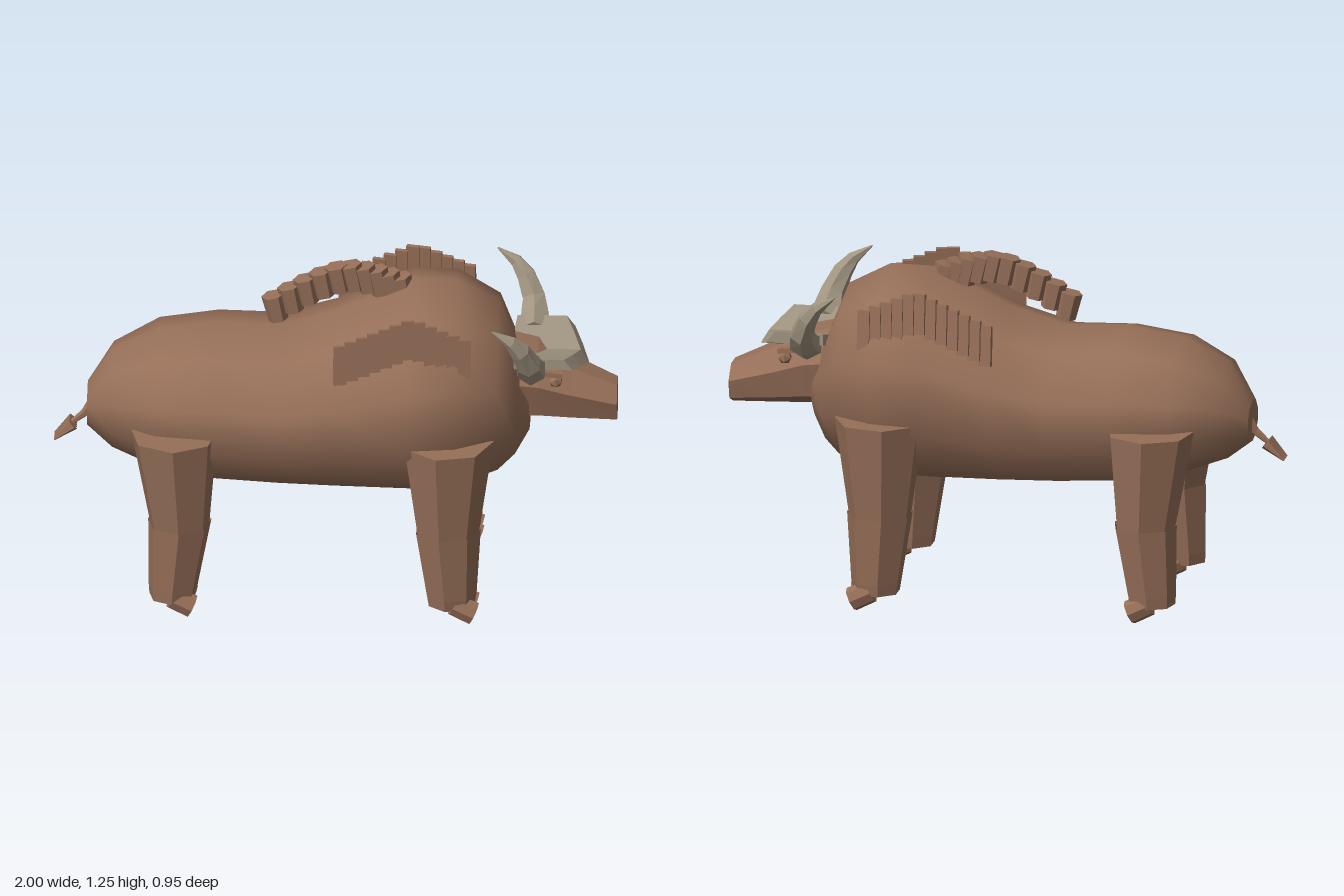
import * as THREE from 'three';

const hide = new THREE.MeshStandardMaterial({ color: 0x966f58 });
hide.name = 'brown hide';
const horn = new THREE.MeshStandardMaterial({ color: 0xa09480 });
horn.name = 'tan horn';

const V = (x, y, z) => new THREE.Vector3(x, y, z);
const X = V(1, 0, 0), Y = V(0, 1, 0), Z = V(0, 0, 1);

// n-sided ring about c, counter-clockwise around u x v
function ring(c, u, v, ru, rv, n, start = 0) {
  return Array.from({ length: n }, (_, i) => {
    const a = start + (i / n) * Math.PI * 2;
    return c.clone().addScaledVector(u, ru * Math.cos(a)).addScaledVector(v, rv * Math.sin(a));
  });
}

// Capped skin over a series of rings
function loft(rings, smooth = false) {
  const pos = [], idx = [], n = rings[0].length;
  rings.forEach(r => r.forEach(p => pos.push(p.x, p.y, p.z)));
  for (let i = 0; i < rings.length - 1; i++) {
    for (let j = 0; j < n; j++) {
      const a = i * n + j, b = i * n + (j + 1) % n;
      idx.push(a, b, b + n, a, b + n, a + n);
    }
  }
  [[rings[0], true], [rings[rings.length - 1], false]].forEach(([r, flip]) => {
    const base = pos.length / 3;
    const c = r.reduce((s, p) => s.add(p), V(0, 0, 0)).divideScalar(n);
    [...r, c].forEach(p => pos.push(p.x, p.y, p.z));
    for (let j = 0; j < n; j++) {
      const a = base + j, b = base + (j + 1) % n;
      if (flip) idx.push(base + n, b, a);
      else idx.push(base + n, a, b);
    }
  });
  let g = new THREE.BufferGeometry();
  g.setAttribute('position', new THREE.Float32BufferAttribute(pos, 3));
  g.setIndex(idx);
  if (!smooth) g = g.toNonIndexed();
  g.computeVertexNormals();
  return g;
}

// Tapered tube through [x, y, z, radius] points
function sweep(pts, n, ref) {
  const p = pts.map(q => V(q[0], q[1], q[2]));
  return loft(p.map((c, i) => {
    const d = p[Math.min(i + 1, p.length - 1)].clone().sub(p[Math.max(i - 1, 0)]).normalize();
    const u = ref.clone().cross(d).normalize();
    return ring(c, u, d.clone().cross(u), pts[i][3], pts[i][3], n);
  }));
}

export function createModel() {
  const model = new THREE.Group();
  model.name = 'hornedBeast';
  const add = (name, geo, mat = hide) => {
    const m = new THREE.Mesh(geo, mat);
    m.name = name;
    model.add(m);
    return m;
  };

  // Body: x, top, bottom, half width
  const body = [
    [-0.88, 0.76, 0.61, 0.09], [-0.79, 0.90, 0.54, 0.21], [-0.63, 0.98, 0.48, 0.31],
    [-0.42, 1.01, 0.44, 0.34], [-0.20, 1.00, 0.43, 0.355], [0.00, 1.06, 0.42, 0.37],
    [0.27, 1.19, 0.41, 0.405], [0.43, 1.19, 0.42, 0.385], [0.58, 1.11, 0.47, 0.30],
    [0.64, 0.96, 0.53, 0.22], [0.69, 0.85, 0.62, 0.13]];
  add('body', loft(body.map(([x, t, b, w]) =>
    ring(V(x, (t + b) / 2, 0), Y, Z, (t - b) / 2, w / 0.951, 10)), true));

  // Head: x, centre height, vertical and sideways radius
  const head = [[0.58, 0.82, 0.165, 0.165], [0.72, 0.805, 0.145, 0.15],
    [0.84, 0.77, 0.115, 0.125], [1.0, 0.728, 0.078, 0.09]];
  add('head', loft(head.map(([x, y, ry, rz]) => ring(V(x, y, 0), Y, Z, ry, rz, 7, Math.PI))));

  // Horn plate across the brow: z, rear x, front x, top y, bottom y
  const plate = [[-0.18, 0.64, 0.845, 0.965, 0.925], [-0.09, 0.63, 0.875, 0.942, 0.898],
    [0, 0.70, 0.90, 0.92, 0.87], [0.09, 0.63, 0.875, 0.942, 0.898],
    [0.18, 0.64, 0.845, 0.965, 0.925]];
  add('hornPlate', loft(plate.map(([z, r, f, t, b]) =>
    [V(r, b, z), V(f, b, z), V(f - 0.03, t, z), V(r, t, z)])), horn);

  for (const s of [1, -1]) {
    const side = s > 0 ? 'left' : 'right';

    // Curved horns
    add(side + 'Horn', sweep([[0.70, 0.915, 0.14 * s, 0.055], [0.70, 0.945, 0.225 * s, 0.055],
      [0.695, 0.99, 0.28 * s, 0.045], [0.665, 1.06, 0.315 * s, 0.037],
      [0.63, 1.105, 0.333 * s, 0.024], [0.565, 1.15, 0.343 * s, 0.003]], 6, X), horn);

    // Eyes and brows
    const eye = add(side + 'Eye', new THREE.IcosahedronGeometry(0.026, 0));
    eye.position.set(0.785, 0.862, 0.138 * s);
    const brow = add(side + 'Brow', new THREE.BoxGeometry(0.11, 0.018, 0.03));
    brow.position.set(0.755, 0.892, 0.138 * s);
    brow.rotation.z = -0.12;

    // Legs: y, x, radius; a small step at the knee
    const legs = {
      Front: { z: 0.315, start: Math.PI / 2, toe: 0.478,
        rings: [[0.07, 0.418, 0.085], [0.11, 0.418, 0.092], [0.36, 0.405, 0.12],
          [0.34, 0.405, 0.112], [0.705, 0.405, 0.165]] },
      Rear: { z: 0.287, start: s > 0 ? 0 : Math.PI, toe: -0.522,
        rings: [[0.07, -0.57, 0.085], [0.11, -0.568, 0.09], [0.36, -0.545, 0.115],
          [0.34, -0.545, 0.107], [0.705, -0.565, 0.158]] }
    };
    for (const [name, leg] of Object.entries(legs)) {
      add(side + name + 'Leg', loft(leg.rings.map(([y, x, r]) =>
        ring(V(x, y, leg.z * s), Z, X, r, r, 7, leg.start))));
      for (const dz of [-0.042, 0.042]) {
        const z = leg.z * s + dz;
        add(side + name + 'Toe', sweep([[leg.toe - 0.05, 0.082, z, 0.042],
          [leg.toe + 0.022, 0.047, z, 0.044]], 8, Z));
      }
    }

    // Shoulder fringe: a row of thin slats that peaks in the middle
    for (let i = 0; i < 12; i++) {
      const x = 0.025 + i * 0.04;
      const y = x < 0.28 ? 0.985 + x * 0.43 : 1.105 - (x - 0.28) * 0.42;
      const slat = add(side + 'FringeSlat', new THREE.BoxGeometry(0.046, 0.145, 0.016));
      slat.position.set(x, y, 0.312 * s);
      slat.rotation.set(-0.1 * s, 0.2 * s, 0);
    }
  }

  // Crest of leaning tufts arching above the back
  const arch = new THREE.CatmullRomCurve3([V(-0.215, 1.075, 0), V(-0.09, 1.15, 0),
    V(0.035, 1.198, 0), V(0.14, 1.185, 0), V(0.235, 1.155, 0)]);
  for (let i = 0; i < 10; i++) {
    const p = arch.getPoint(i / 9);
    add('crestTuft', sweep([[p.x + 0.012, p.y - 0.05, 0, 0.036],
      [p.x - 0.008, p.y + 0.045, 0, 0.042]], 6, Z));
  }

  // Tail with a tuft of hairs
  add('tail', sweep([[-0.85, 0.69, 0, 0.03], [-0.89, 0.645, 0, 0.015], [-0.95, 0.595, 0, 0.008]], 6, Z));
  for (let i = 0; i < 4; i++) {
    const z = (i - 1.5) * 0.016;
    add('tailHair', sweep([[-0.932, 0.608, z, 0.022], [-0.998, 0.55, z * 1.2, 0.003]], 5, Z));
  }
  return model;
}
